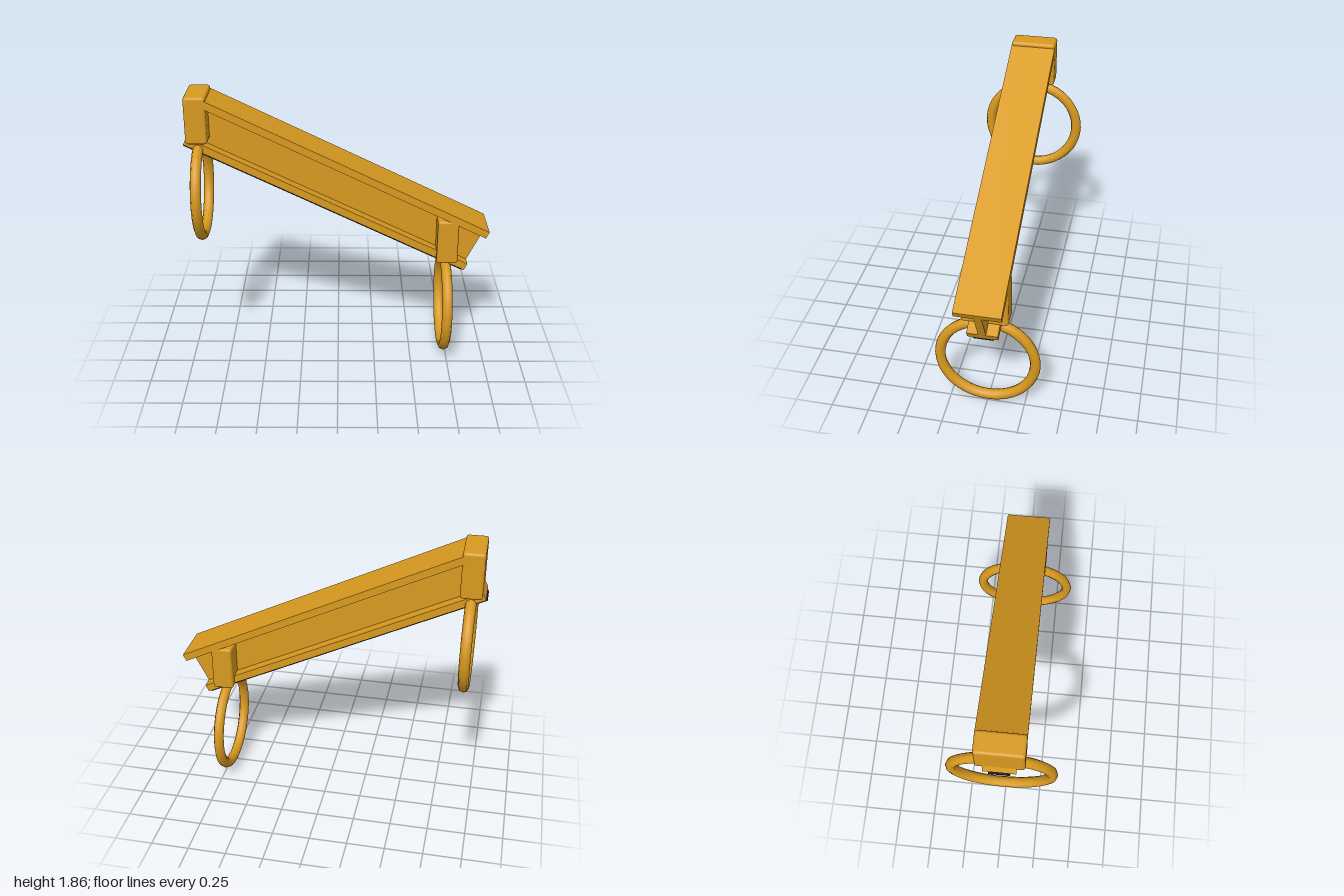
import * as THREE from 'three';
import { RoundedBoxGeometry } from 'three/addons/geometries/RoundedBoxGeometry.js';

export function createModel() {
  const model = new THREE.Group();
  model.name = 'slopedRailWithRings';

  const gold = new THREE.MeshStandardMaterial({ color: 0xd99a20 });
  gold.name = 'gold';
  const black = new THREE.MeshStandardMaterial({ color: 0x1b1b1f });
  black.name = 'black';

  const add = (parent, name, geometry, material, x, y, z) => {
    const mesh = new THREE.Mesh(geometry, material);
    mesh.name = name;
    mesh.position.set(x, y, z);
    parent.add(mesh);
    return mesh;
  };

  // Sloped I-beam with a strip along its underside
  const rail = new THREE.Group();
  rail.name = 'rail';
  rail.position.set(0, 1.228, 0);
  rail.rotation.z = -THREE.MathUtils.degToRad(26);
  model.add(rail);

  const length = 2.05;
  const section = new THREE.Shape();
  const half = [[0.15, 0.18], [0.15, 0.13], [0.025, 0.13], [0.025, -0.11], [0.1, -0.11], [0.1, -0.16]];
  const outline = [...half, ...half.slice().reverse().map(([z, y]) => [-z, y])];
  section.setFromPoints(outline.map(([z, y]) => new THREE.Vector2(z, y)));
  const beamGeometry = new THREE.ExtrudeGeometry(section, { depth: length, bevelEnabled: false });
  beamGeometry.translate(0, 0, -length / 2);
  beamGeometry.rotateY(Math.PI / 2);
  add(rail, 'beam', beamGeometry, gold, 0, 0, 0);
  add(rail, 'underStrip', new THREE.BoxGeometry(length, 0.025, 0.13), black, 0, -0.1675, 0);

  // A rounded block and a hanging ring at each end
  const blockGeometry = new RoundedBoxGeometry(0.14, 0.31, 0.3, 3, 0.018);
  const ringGeometry = new THREE.TorusGeometry(0.315, 0.035, 8, 48);
  ringGeometry.rotateY(Math.PI / 2);
  const ends = [
    { name: 'upper', x: -0.9, blockY: 1.705, ringY: 1.197 },
    { name: 'lower', x: 0.73, blockY: 0.86, ringY: 0.352 },
  ];
  for (const { name, x, blockY, ringY } of ends) {
    add(model, `${name}Block`, blockGeometry, gold, x, blockY, 0);
    add(model, `${name}Ring`, ringGeometry, gold, x, ringY, 0);
  }

  return model;
}
